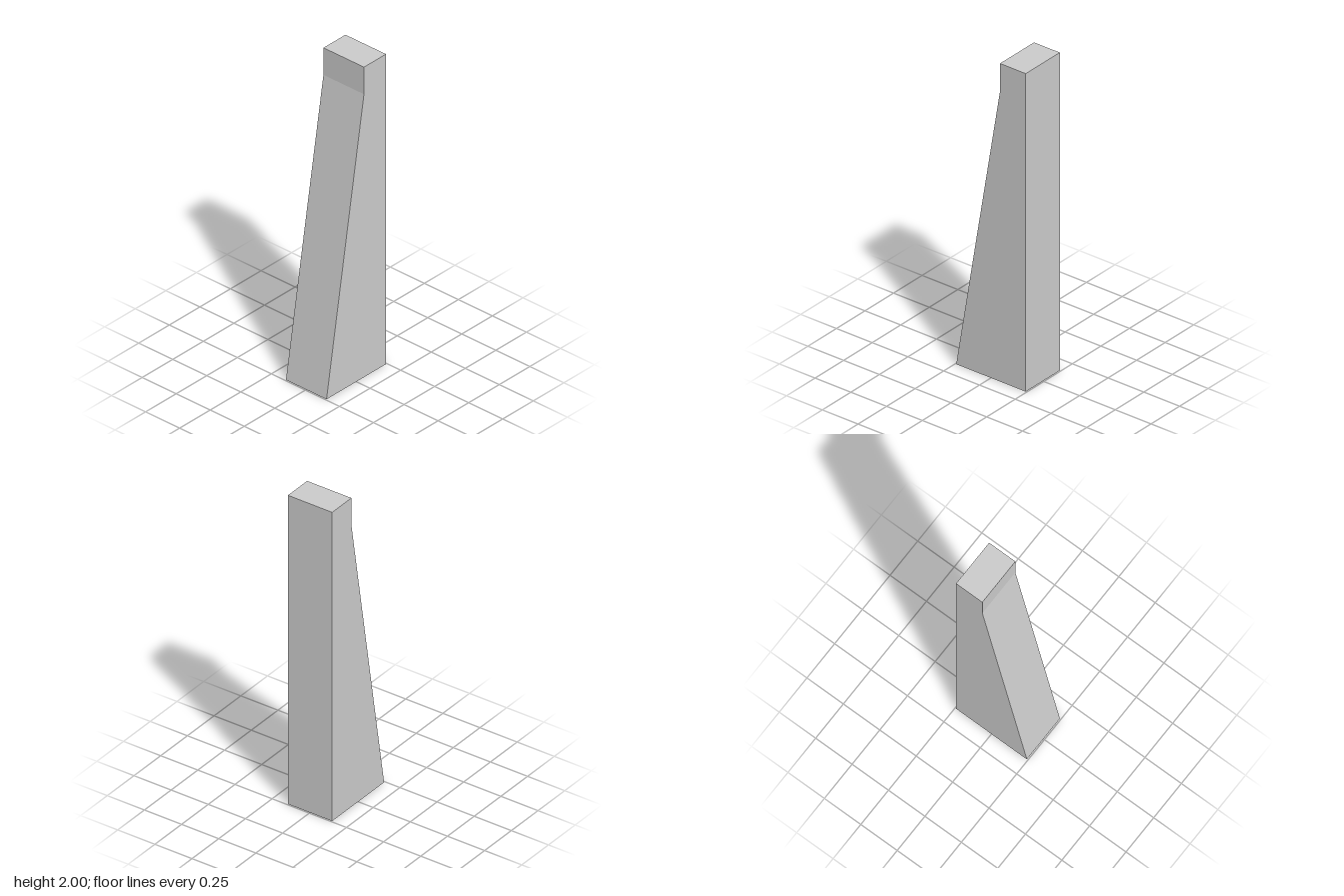
import * as THREE from 'three';

export function createModel() {
  const group = new THREE.Group();
  group.name = 'taperedPost';

  // Side profile: straight on one edge, sloped up to a short upright head on the other
  const profile = new THREE.Shape([
    [-0.243, 0], [0.243, 0], [0.243, 2], [0.063, 2], [0.063, 1.825],
  ].map(([x, y]) => new THREE.Vector2(x, y)));

  // Extrude the profile and centre its depth
  const depth = 0.298;
  const geometry = new THREE.ExtrudeGeometry(profile, { depth, bevelEnabled: false });
  geometry.translate(0, 0, -depth / 2);

  const post = new THREE.Mesh(
    geometry,
    new THREE.MeshStandardMaterial({ color: 0xcccccc, flatShading: true }),
  );
  post.name = 'post';
  group.add(post);
  return group;
}
